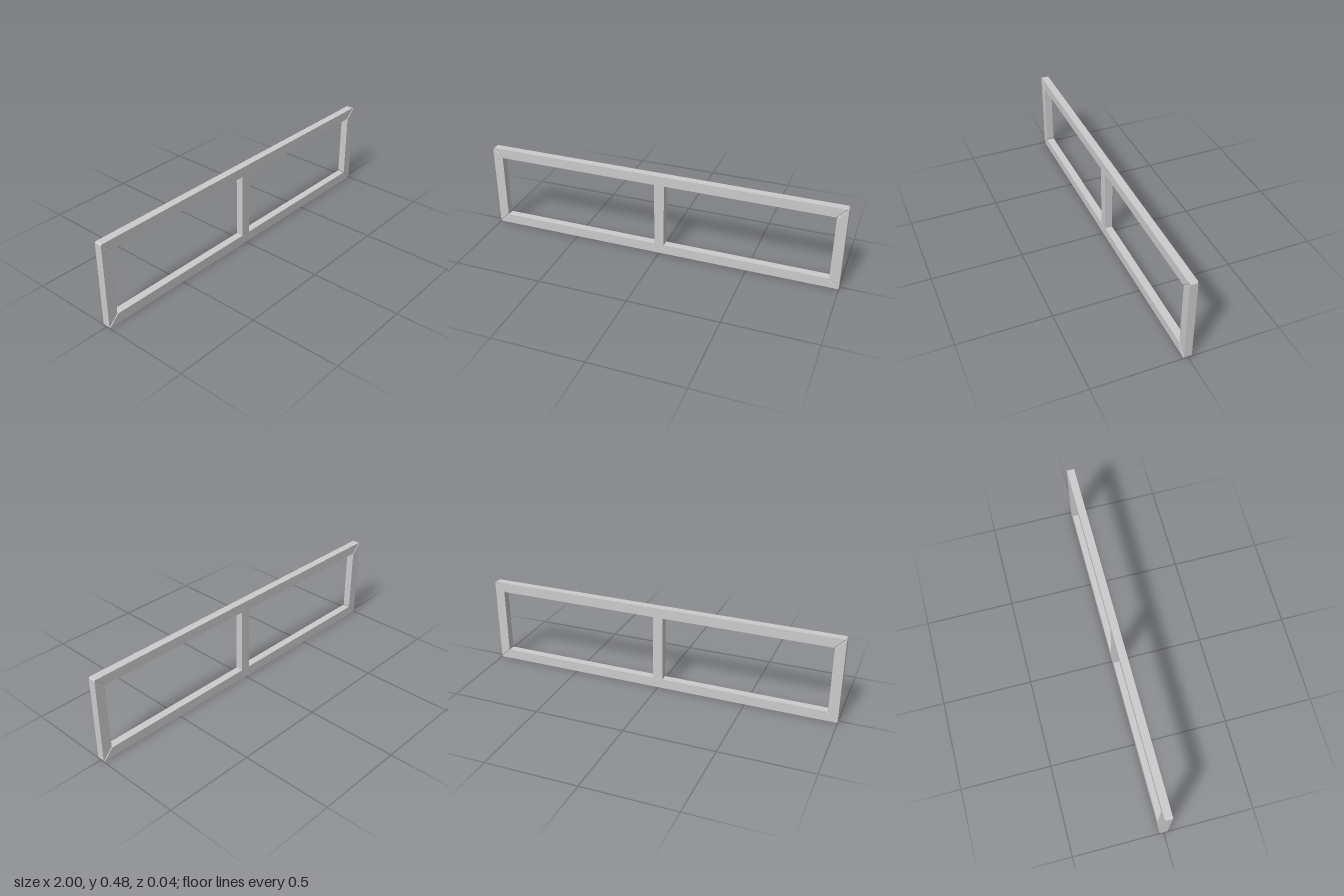
import * as THREE from 'three';

const WIDTH = 2, HEIGHT = 0.48, BAR = 0.055, DEPTH = 0.042;
const BEVEL = 0.003, SETBACK = 0.006;

// Bar along x with its outer edge at +y, mitred at 45 degrees with small bevels at the joints
function mitredBar(length) {
  const section = [[-1, -1], [1, -1], [1, 1], [-1, 1]]; // (y, z) signs
  const stations = [[-1, BEVEL, 0], [-1, 0, SETBACK], [1, 0, SETBACK], [1, BEVEL, 0]];
  const positions = [], index = [];
  for (const [side, inset, setback] of stations) {
    for (const [sy, sz] of section) {
      const y = sy * (BAR / 2 - inset), z = sz * (DEPTH / 2 - inset);
      positions.push(side * (length / 2 - BAR / 2 + y - setback), y, z);
    }
  }
  for (let s = 0; s < 3; s++) {
    for (let i = 0; i < 4; i++) {
      const a = s * 4 + i, b = s * 4 + (i + 1) % 4;
      index.push(a, b, b + 4, a, b + 4, a + 4);
    }
  }
  index.push(0, 2, 1, 0, 3, 2, 12, 13, 14, 12, 14, 15);
  // wind the side faces outwards
  for (let t = 0; t < 72; t += 3) [index[t + 1], index[t + 2]] = [index[t + 2], index[t + 1]];
  const indexed = new THREE.BufferGeometry();
  indexed.setAttribute('position', new THREE.Float32BufferAttribute(positions, 3));
  indexed.setIndex(index);
  const geometry = indexed.toNonIndexed();
  geometry.computeVertexNormals();
  return geometry;
}

export function createModel() {
  const group = new THREE.Group();
  group.name = 'dividedFrame';
  const material = new THREE.MeshStandardMaterial({ color: 0xcccccc, flatShading: true, side: THREE.DoubleSide });

  const add = (name, geometry, x, y, angle = 0) => {
    const mesh = new THREE.Mesh(geometry, material);
    mesh.name = name;
    mesh.position.set(x, y, 0);
    mesh.rotation.z = angle;
    group.add(mesh);
  };

  // Horizontal rails
  const rail = mitredBar(WIDTH);
  add('topRail', rail, 0, HEIGHT - BAR / 2);
  add('bottomRail', rail, 0, BAR / 2, Math.PI);

  // Upright end stiles
  const stile = mitredBar(HEIGHT);
  add('leftStile', stile, WIDTH / 2 - BAR / 2, HEIGHT / 2, -Math.PI / 2);
  add('rightStile', stile, -WIDTH / 2 + BAR / 2, HEIGHT / 2, Math.PI / 2);

  // Central upright between the rails
  add('centreMullion', new THREE.BoxGeometry(BAR, HEIGHT - 2 * BAR, DEPTH), 0, HEIGHT / 2);

  return group;
}
